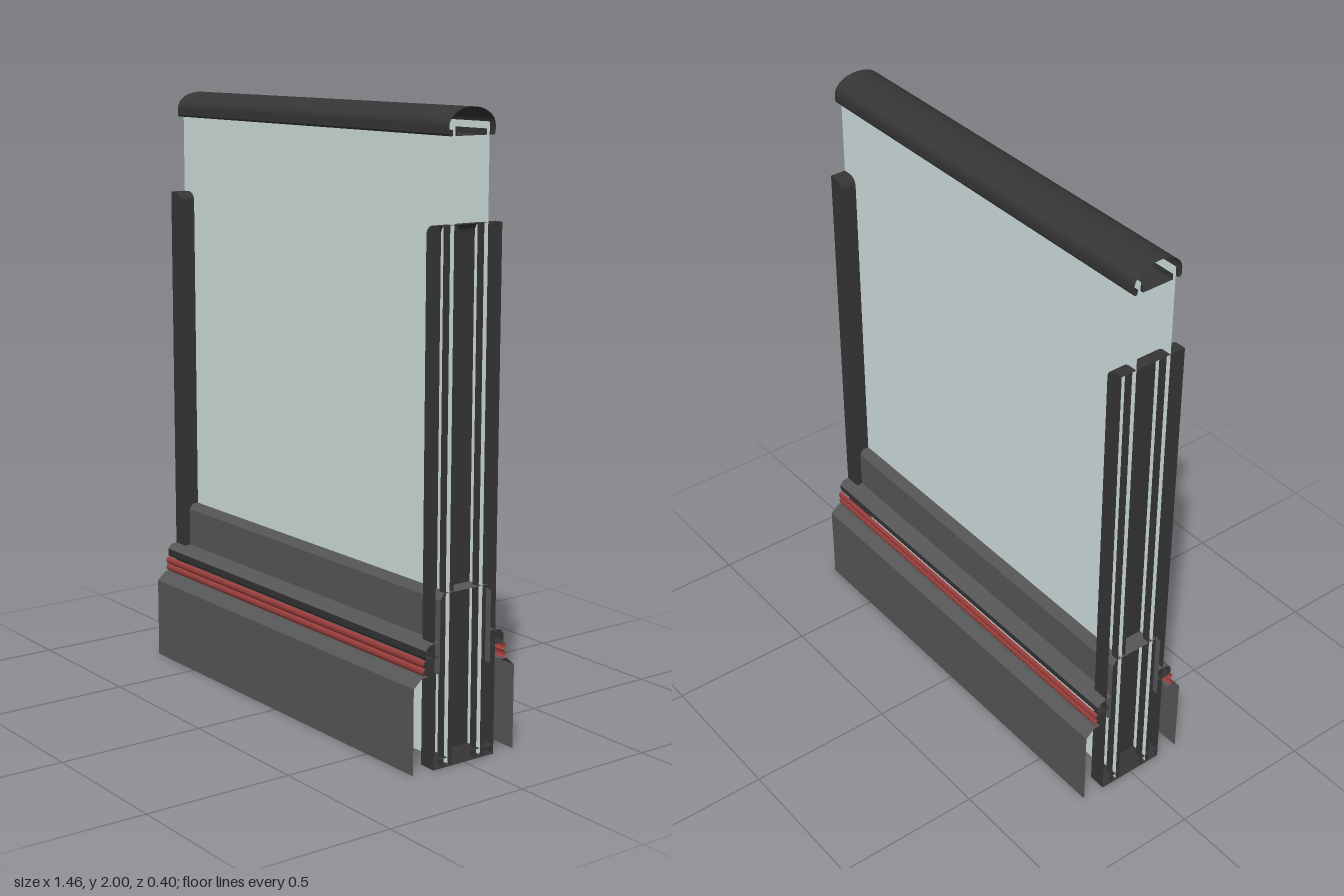
import * as THREE from 'three';

const HALF = 0.73; // half length of the wall section
const mat = (color) => new THREE.MeshStandardMaterial({ color, side: THREE.DoubleSide });
const dark = mat(0x363636);
const grey = mat(0x585858);
const red = mat(0x9a3f3c);
const glass = mat(0xd2e3e1);

// Thin sheet: a profile of [z, y] points swept along x
function sheet(name, profile, half, material) {
  const pos = [];
  for (let i = 0; i < profile.length - 1; i++) {
    const [z0, y0] = profile[i], [z1, y1] = profile[i + 1];
    pos.push(-half, y0, z0, half, y0, z0, half, y1, z1);
    pos.push(-half, y0, z0, half, y1, z1, -half, y1, z1);
  }
  const g = new THREE.BufferGeometry();
  g.setAttribute('position', new THREE.Float32BufferAttribute(pos, 3));
  g.computeVertexNormals();
  const m = new THREE.Mesh(g, material);
  m.name = name;
  return m;
}

// Points on an arc, from angle a0 to a1
function arc(cx, cy, rx, ry, a0, a1, n = 8) {
  return Array.from({ length: n + 1 }, (_, i) => {
    const a = a0 + (a1 - a0) * i / n;
    return [cx + rx * Math.cos(a), cy + ry * Math.sin(a)];
  });
}

// Cladding of one face: skirt, two red ribs and a ledge
function createCladding() {
  const g = new THREE.Group();
  g.name = 'cladding';
  g.add(sheet('skirt', [[0.2, 0], [0.2, 0.275], [0.168, 0.303], [0.145, 0.303]], HALF, grey));
  for (const y of [0.318, 0.343]) {
    g.add(sheet('redRib', arc(0.154, y, 0.009, 0.0125, -Math.PI / 2, Math.PI / 2), HALF, red));
  }
  g.add(sheet('ledge', [[0.1, 0.356], [0.15, 0.356], [0.154, 0.362], [0.155, 0.385]], HALF, dark));
  g.add(sheet('ledgeTop', [[0.155, 0.385], [0.142, 0.4], [0.1, 0.405]], HALF, grey));
  return g;
}

// Upright shell at one end, rounded at its inner top corner, open outwards
function createPost() {
  const g = new THREE.Group();
  g.name = 'post';
  const corner = arc(0.7, 1.63, -0.03, 0.03, 0, Math.PI / 2);
  const outline = [[HALF, 0], [0.67, 0], ...corner, [HALF, 1.66]];

  // Foot, inner web and rounded top in one strip
  const web = sheet('web', outline.map(([x, y]) => [-x, y]), 0.12, dark);
  web.rotation.y = -Math.PI / 2;
  g.add(web);

  const wallGeo = new THREE.ShapeGeometry(new THREE.Shape(outline.map(([x, y]) => new THREE.Vector2(x, y))));
  for (const s of [1, -1]) {
    const wall = new THREE.Mesh(wallGeo, dark);
    wall.name = 'sideWall';
    wall.position.z = 0.12 * s;
    g.add(wall);
    // Lips gripping the edge of a pane
    for (const z of [0.05, 0.08]) {
      const lip = sheet('glazingLip', [[z * s, 0], [z * s, 1.66]], 0.015, dark);
      lip.position.x = HALF - 0.015;
      g.add(lip);
    }
  }

  // Raised floor of the foot
  const floor = sheet('footFloor', [[-0.12, 0.03], [0.12, 0.03]], 0.03, dark);
  floor.position.x = 0.7;
  g.add(floor);
  return g;
}

export function createModel() {
  const model = new THREE.Group();
  model.name = 'glazedWall';

  // Two glass panes, held inside the top rail
  for (const z of [0.065, -0.065]) {
    model.add(sheet('glassPane', [[z, 0.01], [z, 1.955]], HALF, glass));
  }

  // Domed top rail with lips returning to the glass
  model.add(sheet('topRail', [
    [0.075, 1.935], [0.075, 1.917], [0.085, 1.917], [0.088, 1.923],
    ...arc(0, 1.945, 0.088, 0.055, 0, Math.PI, 20),
    [-0.088, 1.923], [-0.085, 1.917], [-0.075, 1.917], [-0.075, 1.935],
  ], HALF, dark));
  model.add(sheet('topRailSpacer', [[0.055, 1.935], [0.055, 1.917], [-0.055, 1.917], [-0.055, 1.935]], HALF, dark));

  // Lower rail bridging both panes
  model.add(sheet('lowerRail', [
    [0.1, 0.3], [0.1, 0.535], [0.088, 0.553], [-0.088, 0.553], [-0.1, 0.535], [-0.1, 0.3],
  ], HALF, grey));

  // Same parts at both faces and both ends
  for (const angle of [0, Math.PI]) {
    for (const part of [createCladding(), createPost()]) {
      part.rotation.y = angle;
      model.add(part);
    }
  }
  return model;
}
